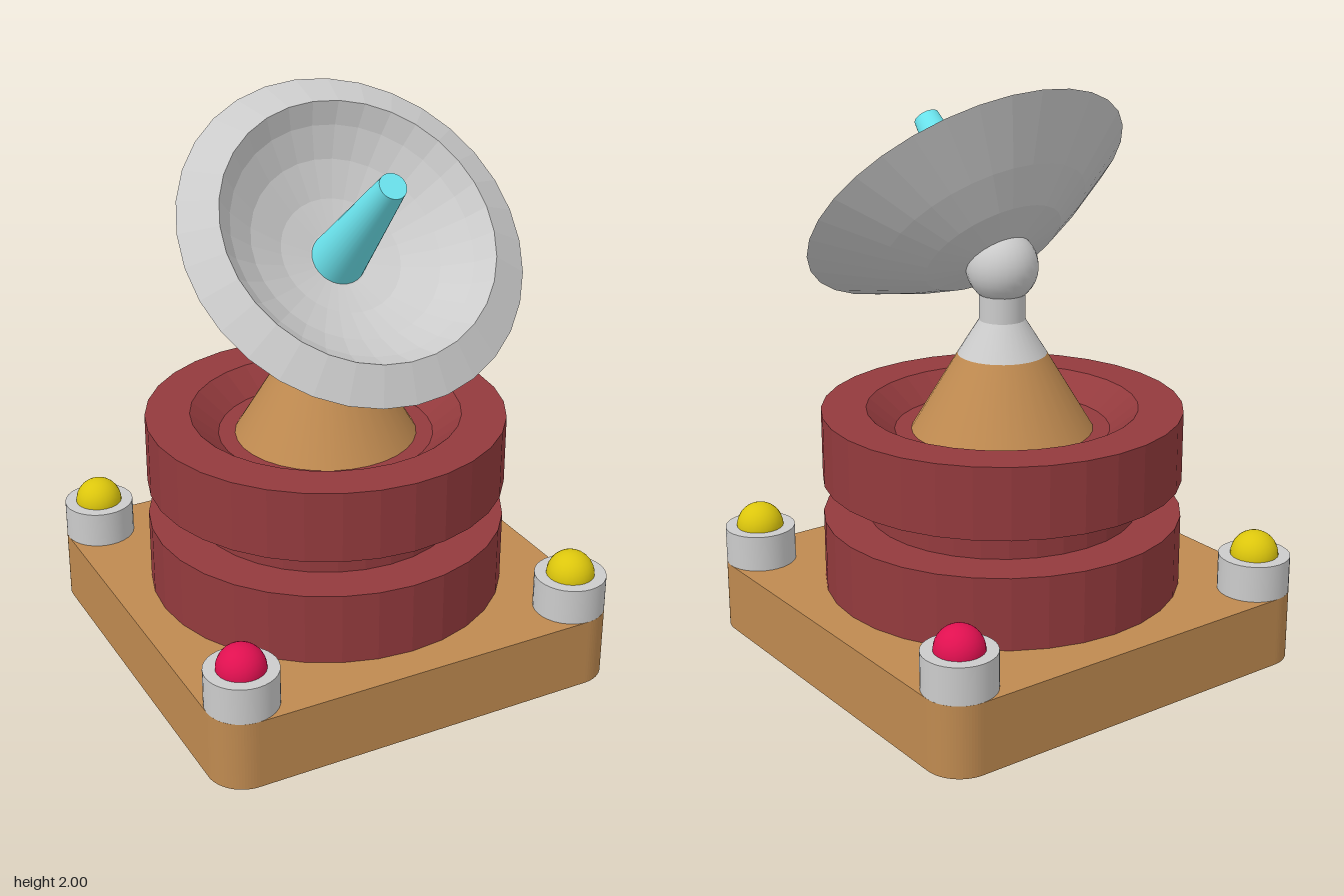
import * as THREE from 'three';

const mat = (color, flatShading = false) => new THREE.MeshStandardMaterial({ color, flatShading });
const GREY = 0xcccccc, BROWN = 0xbf8a50, RED = 0x933a3d;

export function createModel() {
  const model = new THREE.Group();

  const add = (name, geometry, material, x = 0, y = 0, z = 0, parent = model) => {
    const mesh = new THREE.Mesh(geometry, material);
    mesh.name = name;
    mesh.position.set(x, y, z);
    parent.add(mesh);
    return mesh;
  };
  const lathe = (points, sides) =>
    new THREE.LatheGeometry(points.map(([r, y]) => new THREE.Vector2(r, y)), sides);
  // Cylinder or cone standing between two heights
  const column = (name, rBottom, rTop, y0, y1, material, parent = model) =>
    add(name, new THREE.CylinderGeometry(rTop, rBottom, y1 - y0, 32), material, 0, (y0 + y1) / 2, 0, parent);

  // Square base with rounded corners
  const half = 0.755, corner = 0.125, inner = half - corner;
  const outline = new THREE.Shape();
  outline.absarc(inner, inner, corner, 0, Math.PI / 2);
  outline.absarc(-inner, inner, corner, Math.PI / 2, Math.PI);
  outline.absarc(-inner, -inner, corner, Math.PI, Math.PI * 1.5);
  outline.absarc(inner, -inner, corner, Math.PI * 1.5, Math.PI * 2);
  const slab = new THREE.ExtrudeGeometry(outline, { depth: 0.25, bevelEnabled: false, curveSegments: 10 });
  slab.rotateX(-Math.PI / 2);
  add('base', slab, mat(BROWN));

  // Corner posts with lamps, colours alternating around the base
  for (const sx of [-1, 1]) {
    for (const sz of [-1, 1]) {
      const lampColor = sx * sz < 0 ? 0xe01050 : 0xdcc60c;
      add('cornerPost', new THREE.CylinderGeometry(0.125, 0.125, 0.13, 32), mat(GREY), sx * inner, 0.315, sz * inner);
      add('cornerLamp', new THREE.SphereGeometry(0.084, 24, 16), mat(lampColor), sx * inner, 0.38, sz * inner);
    }
  }

  // Grooved drum with a dished top
  add('drum', lathe([
    [0, 0.25], [0.63, 0.25], [0.63, 0.505], [0.475, 0.505], [0.475, 0.635],
    [0.63, 0.635], [0.63, 0.885], [0.474, 0.885], [0.376, 0.805], [0, 0.8],
  ], 32), mat(RED, true));

  // Cone mount, neck and ball joint
  column('mountCone', 0.32, 0.155, 0.8, 1.075, mat(BROWN));
  column('mountCollar', 0.155, 0.08, 1.075, 1.195, mat(GREY));
  column('neck', 0.08, 0.08, 1.195, 1.31, mat(GREY));
  add('ballJoint', new THREE.SphereGeometry(0.125, 24, 16), mat(GREY), 0, 1.38, 0);

  // Dish head, tilted forward about the ball joint
  const head = new THREE.Group();
  head.name = 'dishHead';
  head.position.y = 1.38;
  head.rotation.x = Math.PI / 4;
  model.add(head);
  add('dish', lathe([
    [0, 0.02], [0.1, 0.03], [0.255, 0.07], [0.385, 0.145], [0.597, 0.286],
    [0.474, 0.349], [0.42, 0.285], [0.33, 0.215], [0.21, 0.16], [0.1, 0.135], [0, 0.13],
  ], 32), mat(GREY, true), 0, 0, 0, head);
  column('feedHorn', 0.095, 0.046, 0.13, 0.634, mat(0x6ce6f0), head);

  return model;
}
